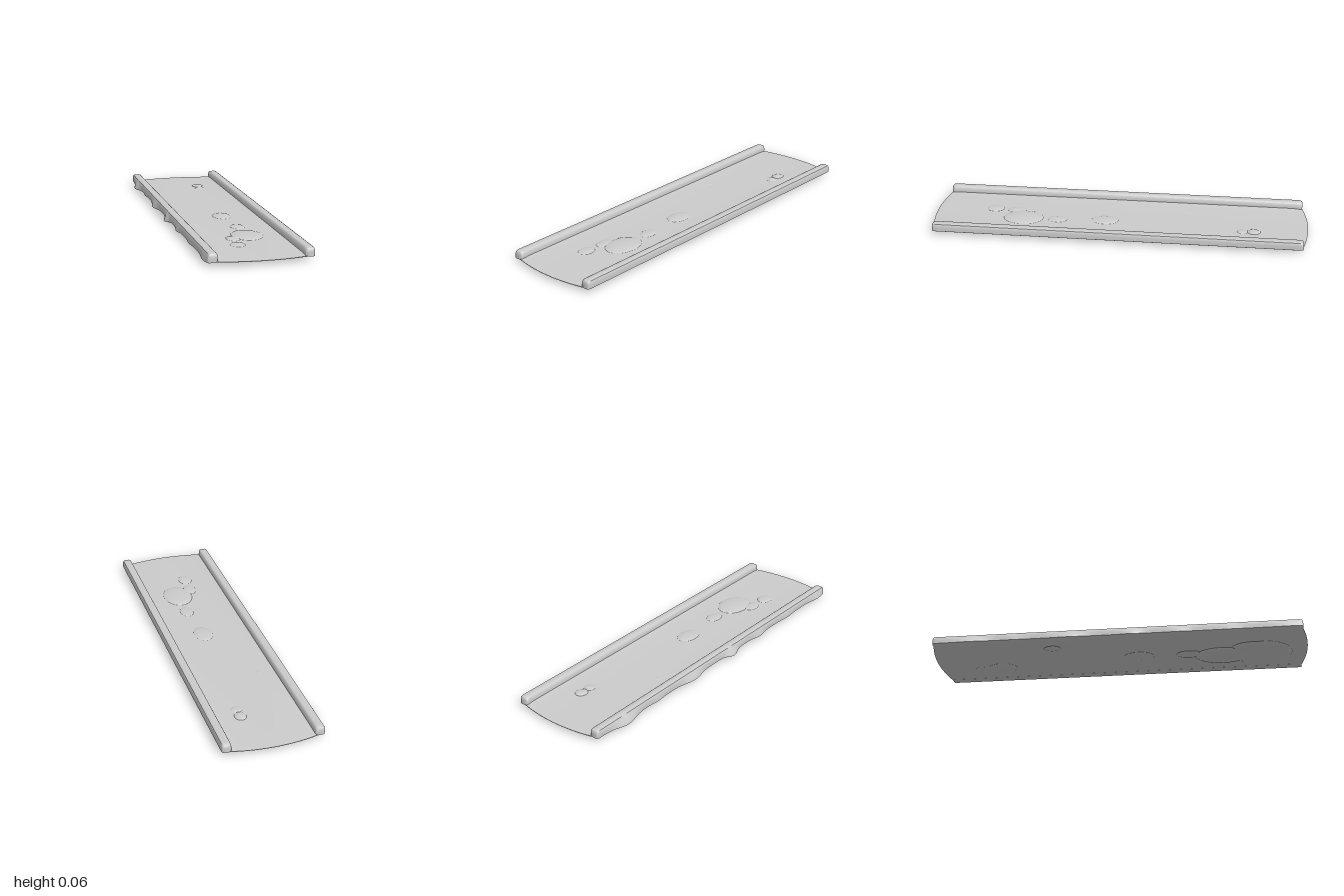
import * as THREE from 'three';
import { toCreasedNormals } from 'three/addons/utils/BufferGeometryUtils.js';

const material = new THREE.MeshStandardMaterial({ color: 0xcccccc });

// Joins closed rings (counter-clockwise seen from the last ring's end) and caps both ends.
function loft(rings, crease) {
  const n = rings[0].length, last = rings.length - 1;
  const pos = rings.flat(2), idx = [];
  for (let s = 0; s < last; s++) {
    for (let i = 0; i < n; i++) {
      const j = (i + 1) % n;
      const a = s * n + i, b = s * n + j, c = b + n, d = a + n;
      idx.push(a, b, c, a, c, d);
    }
  }
  for (const s of [0, last]) {
    const centre = [0, 1, 2].map(k => rings[s].reduce((t, p) => t + p[k], 0) / n);
    const ci = pos.length / 3;
    pos.push(...centre);
    for (let i = 0; i < n; i++) {
      const a = s * n + i, b = s * n + (i + 1) % n;
      idx.push(ci, ...(s === 0 ? [b, a] : [a, b]));
    }
  }
  const g = new THREE.BufferGeometry();
  g.setAttribute('position', new THREE.Float32BufferAttribute(pos, 3));
  g.setIndex(idx);
  return toCreasedNormals(g, crease);
}

// Drips along the left-hand edge: [z, spread, amount]
const edgeDrips = [[-0.77, 0.08, 0.021], [-0.53, 0.05, 0.005], [-0.25, 0.08, 0.017],
  [0.08, 0.05, 0.022], [0.33, 0.05, 0.01], [0.6, 0.06, 0.005], [0.9, 0.07, 0.01]];
const drip = z => edgeDrips.reduce((t, [c, w, a]) => t + a * Math.exp(-(((z - c) / w) ** 2)), 0);

// Thin deck with bowed ends and a soft rise towards the rails
function deckGeometry() {
  const rings = [];
  const N = 32;
  for (let i = 0; i <= N; i++) {
    const t = -1 + 2 * i / N, x = 0.01 + 0.24 * t;
    const e = 0.968 + 0.032 * (1 - t * t);
    const edge = 0.0225 + 0.004 * Math.abs(t) ** 8;
    const top = 0.0238 + 0.004 * t * t + 0.009 * Math.abs(t) ** 10;
    const ring = [[x, 0.02, e], [x, 0.02, 0], [x, 0.02, -e]];
    for (const [f, y] of [[-e, edge], [-e + 0.05, top], [0, top], [e - 0.05, top], [e, edge]]) ring.push([x, y, f]);
    rings.push(ring);
  }
  return loft(rings, 0.6);
}

// Rounded rail; u runs outward from the rail's centre line
function railGeometry(side, cx, flare) {
  const stations = [];
  const N = 140, L = 0.972;
  for (let i = 0; i <= N; i++) stations.push(-0.955 + 1.91 * i / N);
  const ends = [[L, 0.009], [0.97, 0.005], [0.965, 0.002]];
  const all = [...ends.map(([z, r]) => [-z, r]), ...stations.map(z => [z, 0]),
    ...ends.slice().reverse()];
  const rings = all.map(([z, r]) => {
    const w = flare(z), sag = Math.min(0.008, w * 0.4);
    const h = 0.063 - r, o = 0.025 - r * 0.6;
    const profile = [
      [-0.024 + r * 0.6, 0.0195], [-0.004, 0.0195 - sag * 0.6], [o - 0.004 + w * 0.7, 0.0195 - sag],
      [o + w, 0.022 - sag], [o + w * 0.8, 0.029 - sag * 0.5], [o + w * 0.25, 0.042],
      [o - 0.001, 0.054 - r], [o - 0.004, h - 0.003], [o - 0.011, h],
      [-o + 0.011, h], [-o + 0.005, h - 0.003], [-o + 0.002, 0.055 - r], [-o, 0.035],
    ].map(([u, y]) => [cx + side * u, y, z]);
    return side > 0 ? profile : profile.reverse();
  });
  return loft(rings, 0.7);
}

export function createModel() {
  const model = new THREE.Group();
  const add = (name, geometry, parent = model) => {
    const mesh = new THREE.Mesh(geometry, material);
    mesh.name = name;
    parent.add(mesh);
    return mesh;
  };

  add('deck', deckGeometry());
  add('leftRail', railGeometry(1, 0.246, () => 0));
  add('rightRail', railGeometry(-1, -0.225, drip));

  // Shallow domes: [x, z, radius x, radius z, height]
  const dome = new THREE.SphereGeometry(1, 40, 12, 0, Math.PI * 2, 0, Math.PI / 2);
  const blobs = (name, list, y, dir) => {
    const group = new THREE.Group();
    group.name = name;
    for (const [x, z, rx, rz, h] of list) {
      const m = add('droplet', dome, group);
      m.position.set(x, y, z);
      m.scale.set(rx, h, rz);
      if (dir < 0) m.rotation.x = Math.PI;
    }
    model.add(group);
  };

  // Droplets resting on the deck
  blobs('topDroplets', [
    [0.042, 0.08, 0.05, 0.072, 0.009],
    [0.06, 0.335, 0.037, 0.052, 0.008],
    [0.06, 0.52, 0.08, 0.107, 0.013],
    [-0.025, 0.57, 0.036, 0.05, 0.008],
    [-0.033, 0.69, 0.038, 0.047, 0.008],
    [0.095, -0.715, 0.031, 0.036, 0.01],
    [0.096, -0.655, 0.03, 0.028, 0.007],
    [-0.12, -0.37, 0.016, 0.02, 0.004],
  ], 0.0225, 1);

  // Drips hanging under the deck
  blobs('undersideDrips', [
    [0.06, 0.55, 0.095, 0.15, 0.02],
    [0.05, 0.76, 0.14, 0.16, 0.012],
    [-0.02, 0.72, 0.07, 0.12, 0.011],
    [0.03, 0.37, 0.042, 0.07, 0.01],
    [0.03, 0.1, 0.055, 0.08, 0.008],
    [-0.12, -0.35, 0.032, 0.045, 0.008],
    [0.095, -0.66, 0.055, 0.08, 0.007],
    [0.1, -0.78, 0.025, 0.03, 0.004],
  ], 0.0205, -1);

  return model;
}
